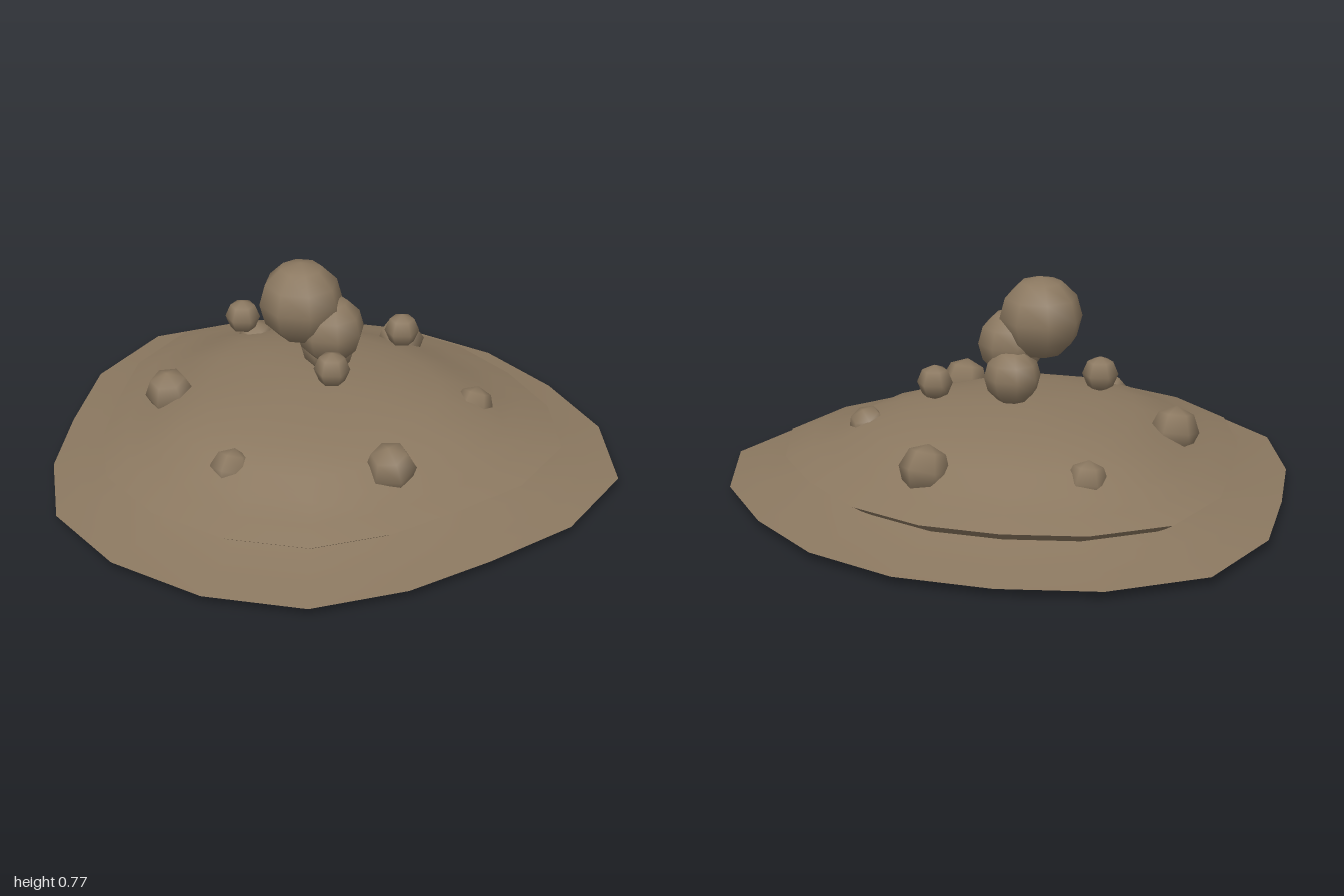
import * as THREE from 'three';
import { mergeVertices } from 'three/addons/utils/BufferGeometryUtils.js';

// Half of the mound's plan outline, from the front round to the back (x, z)
const HALF = [
  [0.18, 0.975], [0.51, 0.85], [0.73, 0.59], [0.87, 0.3], [1, -0.03],
  [1, -0.4], [0.785, -0.69], [0.49, -0.87], [0.17, -0.98],
];
const OUTLINE = [...HALF, ...HALF.map(([x, z]) => [-x, z]).reverse()];

// Sweeps a profile of (scale, height) points round the outline, with smooth normals
function shell(profile) {
  const points = profile.map(([r, y]) => new THREE.Vector2(r, y));
  const geo = new THREE.LatheGeometry(points, OUTLINE.length);
  const pos = geo.attributes.position;
  for (let i = 0; i < pos.count; i++) {
    const [x, z] = OUTLINE[Math.floor(i / profile.length) % OUTLINE.length];
    const [r, y] = profile[i % profile.length];
    pos.setXYZ(i, x * r, y, z * r);
  }
  geo.deleteAttribute('uv');
  geo.deleteAttribute('normal');
  const merged = mergeVertices(geo);
  merged.computeVertexNormals();
  return merged;
}

export function createModel() {
  const model = new THREE.Group();
  model.name = 'mudMound';
  const mud = new THREE.MeshStandardMaterial({ color: 0x8b7860 });
  mud.name = 'mud brown';

  const add = (name, geo, parent = model) => {
    const mesh = new THREE.Mesh(geo, mud);
    mesh.name = name;
    parent.add(mesh);
    return mesh;
  };

  // Stepped mound, split where its edges are sharp
  add('underside', shell([[0, 0], [0.91, 0]]));
  add('lowerEdge', shell([[0.91, 0], [1, 0.03]]));
  add('lowerTier', shell([[1, 0.03], [0.9, 0.045], [0.8, 0.065], [0.73, 0.085]]));
  add('overhang', shell([[0.73, 0.085], [0.77, 0.108], [0.81, 0.135]]));
  add('upperDome', shell([
    [0.81, 0.135], [0.72, 0.165], [0.62, 0.195], [0.54, 0.24],
    [0.42, 0.278], [0.28, 0.302], [0.13, 0.315], [0, 0.32],
  ]));

  // Half-buried lumps: x, y, z, radius
  const lumps = new THREE.Group();
  lumps.name = 'lumps';
  model.add(lumps);
  [
    [0.01, 0.225, -0.57, 0.088], [-0.47, 0.21, -0.315, 0.072],
    [0.47, 0.21, -0.3, 0.072], [-0.475, 0.23, 0.23, 0.088],
    [0.455, 0.23, 0.25, 0.088], [-0.015, 0.205, 0.515, 0.074],
  ].forEach(([x, y, z, r], i) => {
    const lump = add('lump', new THREE.SphereGeometry(r, 6, 4), lumps);
    lump.position.set(x, y, z);
    lump.rotation.set(0.3 * Math.sin(i * 2), Math.PI / 2 + 0.2 * Math.sin(i * 3), 0.3 * Math.cos(i * 2));
  });

  // Stack of bubbles rising above the peak
  const bubbles = new THREE.Group();
  bubbles.name = 'bubbles';
  model.add(bubbles);
  [
    ['lowBubble', 0, 0.425, -0.08, 0.1, 8, 6],
    ['middleBubble', 0.045, 0.525, -0.018, 0.12, 8, 6],
    ['topBubble', -0.05, 0.622, 0.022, 0.147, 8, 6],
    ['smallBubble', -0.32, 0.475, -0.012, 0.062, 6, 4],
    ['smallBubble', 0.17, 0.43, -0.3, 0.062, 6, 4],
    ['smallBubble', 0.2, 0.517, 0.218, 0.062, 6, 4],
  ].forEach(([name, x, y, z, r, sides, rings]) => {
    const bubble = add(name, new THREE.SphereGeometry(r, sides, rings), bubbles);
    bubble.position.set(x, y, z);
    bubble.rotation.y = Math.PI / 2;
  });

  return model;
}
